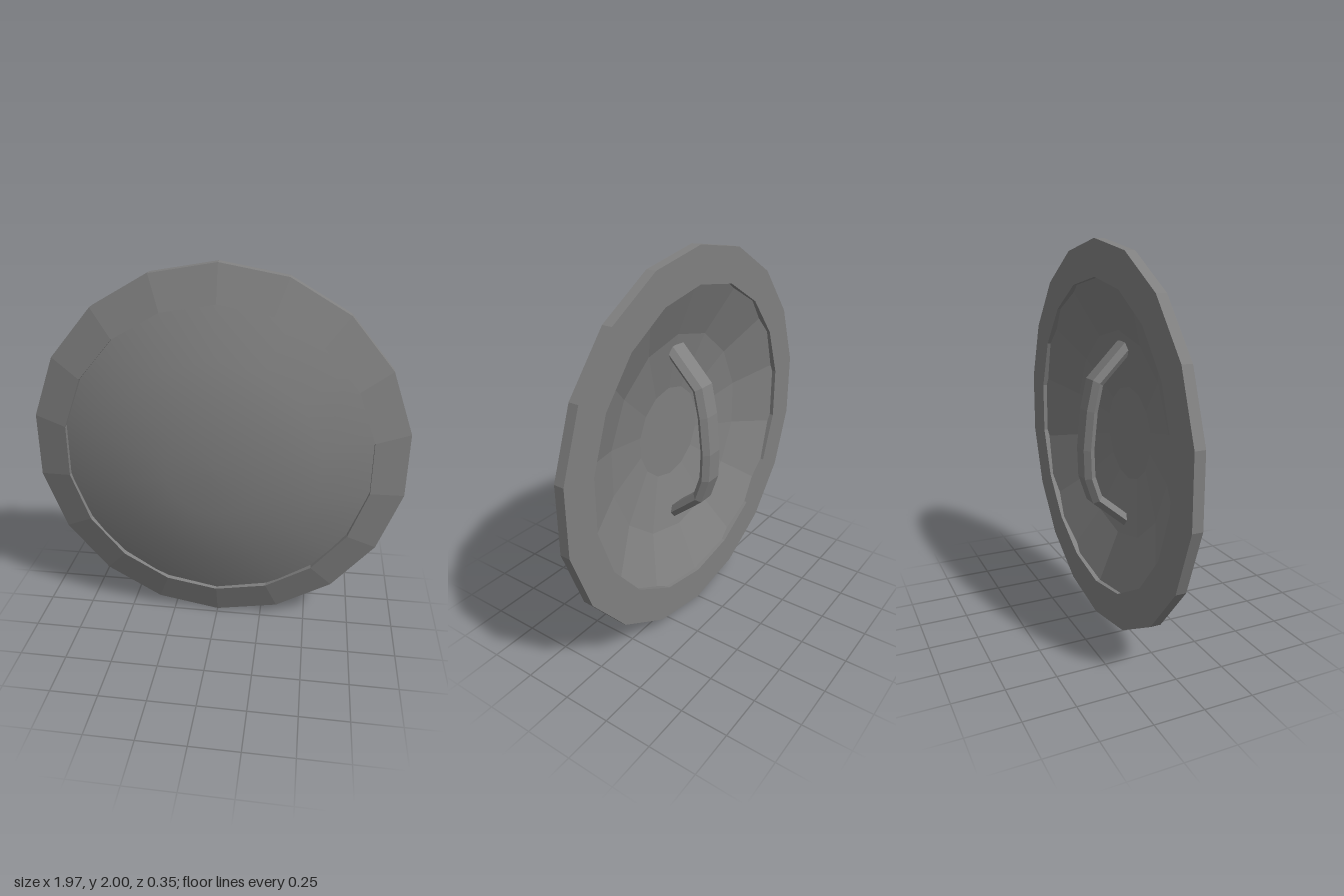
import * as THREE from 'three';

const COLOR = 0x808080;

// Turn a profile of [radius, depth] points around the z axis, front towards +z
function turned(name, profile, sides, flatShading) {
  const geo = new THREE.LatheGeometry(profile.map(([r, z]) => new THREE.Vector2(r, z)), sides);
  geo.rotateX(Math.PI / 2);
  const mesh = new THREE.Mesh(geo, new THREE.MeshStandardMaterial({ color: COLOR, flatShading }));
  mesh.name = name;
  mesh.position.y = 1;
  return mesh;
}

// Sweep a six-sided grip section along a [y, z] path running downwards
function sweptGrip(path, section) {
  const pts = path.map(([y, z]) => new THREE.Vector2(y, z));
  const pos = [], idx = [], n = section.length;
  pts.forEach((p, i) => {
    const dirs = [];
    if (i > 0) dirs.push(p.clone().sub(pts[i - 1]).normalize());
    if (i < pts.length - 1) dirs.push(pts[i + 1].clone().sub(p).normalize());
    const t = dirs.reduce((a, b) => a.clone().add(b)).normalize();
    // Mitre so the grip keeps its thickness through each bend
    const mitre = 1 / t.dot(dirs[0]);
    const ny = -t.y * mitre, nz = t.x * mitre;
    for (const [out, x] of section) pos.push(x, p.x + ny * out, p.y + nz * out);
    if (i === pts.length - 1) return;
    for (let j = 0; j < n; j++) {
      const a = i * n + j, b = i * n + (j + 1) % n;
      idx.push(a, b, b + n, a, b + n, a + n);
    }
  });
  // End caps
  const last = (pts.length - 1) * n;
  for (let j = 1; j < n - 1; j++) {
    idx.push(0, j + 1, j, last, last + j, last + j + 1);
  }
  const geo = new THREE.BufferGeometry();
  geo.setAttribute('position', new THREE.Float32BufferAttribute(pos, 3));
  geo.setIndex(idx);
  const flat = geo.toNonIndexed();
  flat.computeVertexNormals();
  return flat;
}

export function createModel() {
  const shield = new THREE.Group();
  shield.name = 'roundShield';

  // Bevelled outer ring
  shield.add(turned('rim', [
    [0.815, -0.083], [1, -0.083], [1, -0.03], [0.815, 0.035], [0.815, -0.083],
  ], 18, true));

  // Smooth front bowl and faceted inside, both running into the rim
  shield.add(turned('domeFront', [
    [0.86, -0.005], [0.56, 0.11], [0.25, 0.172], [0, 0.174],
  ], 14, false));
  shield.add(turned('domeBack', [
    [0, 0.112], [0.25, 0.112], [0.55, 0.05], [0.86, -0.076],
  ], 14, true));

  // Curved hand grip, its ends sunk into the dome
  const grip = new THREE.Mesh(
    sweptGrip(
      [[1.48, 0.09], [1.295, -0.09], [1.15, -0.122], [0.95, -0.142], [0.8, -0.137], [0.675, -0.095], [0.52, 0.09]],
      [[0.03, -0.045], [0.03, 0.045], [0, 0.07], [-0.03, 0.045], [-0.03, -0.045], [0, -0.07]],
    ),
    new THREE.MeshStandardMaterial({ color: COLOR, flatShading: true }),
  );
  grip.name = 'handle';
  grip.position.x = -0.013;
  shield.add(grip);

  return shield;
}
